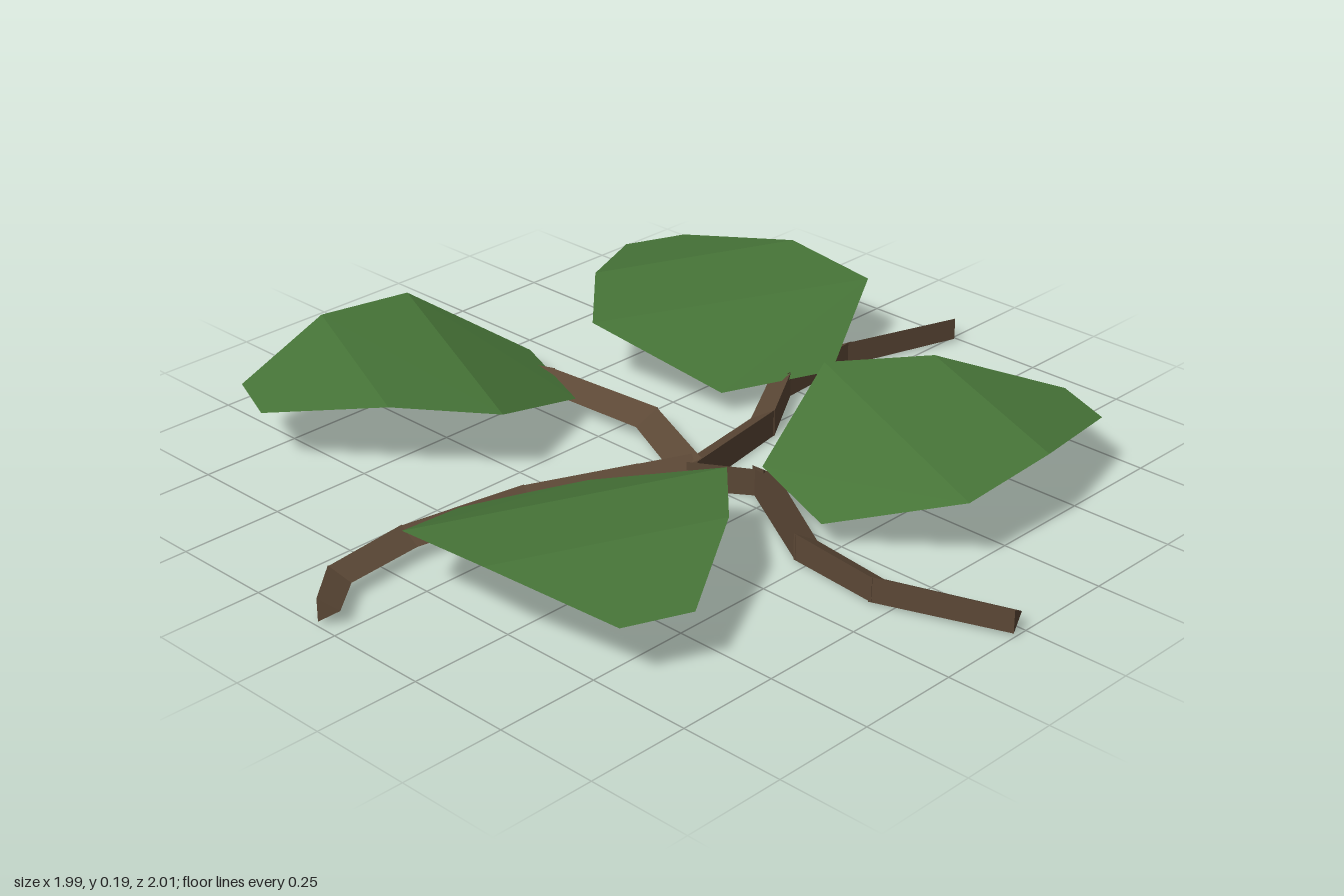
import * as THREE from 'three';

const bark = new THREE.MeshStandardMaterial({ color: 0x5c4836 });
bark.name = 'bark brown';
const green = new THREE.MeshStandardMaterial({ color: 0x477538, side: THREE.DoubleSide });
green.name = 'leaf green';

// Three-sided tapering twig segment between two [x, z] points, sharp edge to its left
function segment(a, b, r0, r1) {
  const dx = b[0] - a[0], dz = b[1] - a[1];
  const len = Math.hypot(dx, dz);
  const geo = new THREE.CylinderGeometry(r1, r0, len + 0.015, 3, 1, false, Math.PI / 2)
    .rotateX(Math.PI / 2)
    .rotateY(Math.atan2(dx, dz))
    .translate((a[0] + b[0]) / 2, 0.037, (a[1] + b[1]) / 2)
    .toNonIndexed();
  geo.computeVertexNormals();
  return new THREE.Mesh(geo, bark);
}

// Crooked branch along a path of [x, z] points
function branch(name, path) {
  const group = new THREE.Group();
  group.name = name;
  const n = path.length - 1;
  const radius = (i) => 0.041 - 0.008 * (i / n);
  for (let i = 0; i < n; i++) {
    const mesh = segment(path[i], path[i + 1], radius(i), radius(i + 1) - 0.001);
    mesh.name = `${name}Segment${i + 1}`;
    group.add(mesh);
  }
  return group;
}

// Leaf outline (x, y, z) around its own centre: low base, high middle, drooping tip
const outline = [
  [0.05, 0.172, -0.338], [0.227, 0.19, -0.155], [0.382, 0.14, 0.107], [0.32, 0.14, 0.257],
  [0.015, 0.19, 0.337], [-0.245, 0.167, 0.327], [-0.383, 0.06, 0.038], [-0.275, 0.06, -0.233],
];
// Three flat strips across the leaf
const strips = [[1, 2, 3, 4], [0, 1, 4, 5], [7, 0, 5, 6]];

function leafGeometry() {
  const pos = [];
  for (const [a, b, c, d] of strips) {
    for (const i of [a, c, b, a, d, c]) pos.push(...outline[i]);
  }
  const geo = new THREE.BufferGeometry();
  geo.setAttribute('position', new THREE.Float32BufferAttribute(pos, 3));
  geo.computeVertexNormals();
  return geo;
}

export function createModel() {
  const model = new THREE.Group();
  model.name = 'leafyTwigs';

  // Four branches from a shared root
  const root = [-0.025, 0.075];
  model.add(
    branch('rightBranch', [root, [-0.14, 0.02], [-0.38, -0.09], [-0.68, -0.145], [-0.89, -0.125], [-0.98, -0.05]]),
    branch('leftBranch', [root, [0.28, 0.025], [0.46, -0.085], [0.69, -0.095], [0.98, 0]]),
    branch('backBranch', [root, [0.085, -0.165], [0.065, -0.485], [-0.03, -0.74], [-0.05, -0.885], [0.08, -0.98]]),
    branch('frontBranch', [root, [0.06, 0.21], [-0.1, 0.475], [-0.125, 0.7], [-0.025, 0.985]]),
  );

  // Four leaves, each a quarter turn from the next
  const geo = leafGeometry();
  const leaves = [
    ['frontLeftLeaf', 0.348, 0.433, 0],
    ['backLeftLeaf', 0.513, -0.395, 1],
    ['backRightLeaf', -0.255, -0.578, 2],
    ['frontRightLeaf', -0.478, 0.24, 3],
  ];
  for (const [name, x, z, turns] of leaves) {
    const leaf = new THREE.Mesh(geo, green);
    leaf.name = name;
    leaf.position.set(x, 0, z);
    leaf.rotation.y = turns * Math.PI / 2;
    model.add(leaf);
  }
  return model;
}
